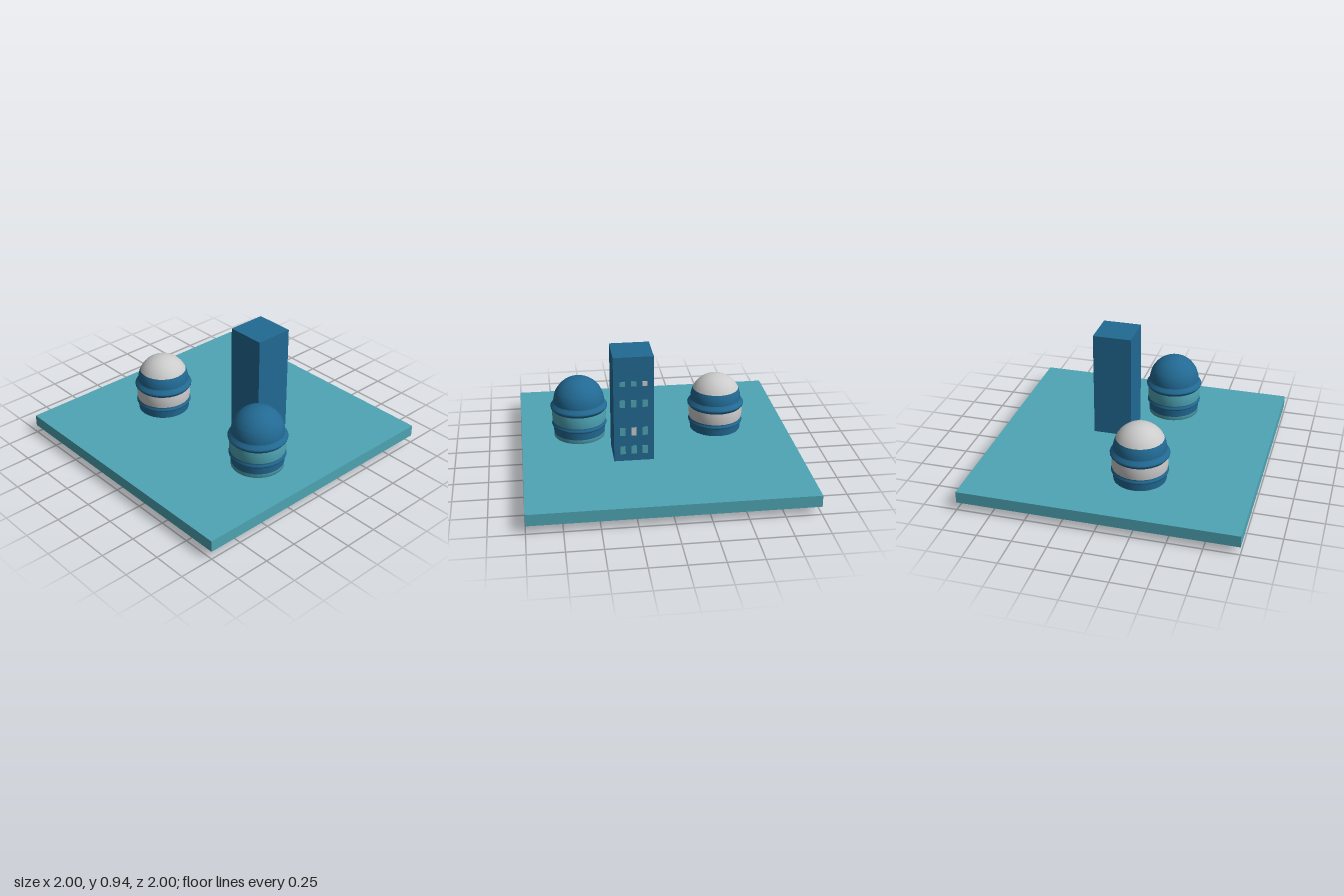
import * as THREE from 'three';

const teal = new THREE.MeshStandardMaterial({ color: 0x4fa5b5 });
const blue = new THREE.MeshStandardMaterial({ color: 0x226a94 });
const grey = new THREE.MeshStandardMaterial({ color: 0xcccccc });
for (const m of [teal, blue, grey]) m.side = THREE.DoubleSide;

function box(name, size, pos, material) {
  const mesh = new THREE.Mesh(new THREE.BoxGeometry(...size), material);
  mesh.position.set(...pos);
  mesh.name = name;
  return mesh;
}

function band(name, points, material) {
  const profile = points.map(([r, y]) => new THREE.Vector2(r, y));
  const mesh = new THREE.Mesh(new THREE.LatheGeometry(profile, 28), material);
  mesh.name = name;
  return mesh;
}

// Points on a hemisphere of radius 0.19 resting at y = 0.385
function domeArc(from, to, steps) {
  const pts = [];
  for (let i = 0; i <= steps; i++) {
    const a = THREE.MathUtils.lerp(from, to, i / steps);
    pts.push([Math.max(0, 0.19 * Math.cos(a)), 0.385 + 0.19 * Math.sin(a)]);
  }
  return pts;
}

// Round banded tower with ring mouldings and a domed cap
function domedTower(name, x, lift, bandMaterial, capMaterial) {
  const g = new THREE.Group();
  g.name = name;
  const split = Math.asin(0.082 / 0.19);
  g.add(
    band('foot', [[0, 0.08], [0.19, 0.08], [0.19, 0.145]], bandMaterial),
    band('lowerWall', [[0.19, 0.145], [0.194, 0.2]], blue),
    band('lowerRing', [[0.194, 0.2], [0.202, 0.205], [0.205, 0.213], [0.202, 0.222], [0.197, 0.228], [0.198, 0.238]], blue),
    band('middleWall', [[0.198, 0.238], [0.201, 0.265], [0.201, 0.3], [0.198, 0.327]], bandMaterial),
    band('upperRing', [[0.198, 0.327], [0.203, 0.338], [0.211, 0.343], [0.213, 0.352], [0.209, 0.36], [0.2, 0.37], [0.19, 0.385]], blue),
    band('domeBase', domeArc(0, split, 5), blue),
    band('domeCap', domeArc(split, Math.PI / 2, 10), capMaterial),
  );
  g.position.set(x, lift, 0.18);
  return g;
}

export function createModel() {
  const model = new THREE.Group();
  model.name = 'cityBlock';

  model.add(box('groundSlab', [2, 0.085, 2], [0, 0.1025, 0], teal));

  // Square tower passing through the slab
  const tower = new THREE.Group();
  tower.name = 'squareTower';
  tower.add(box('towerBody', [0.286, 0.94, 0.286], [0.205, 0.47, -0.175], blue));

  // Windows on the back face, two of them lit
  const rows = [[0.74, 0.035], [0.59, 0.055], [0.375, 0.062], [0.23, 0.062]];
  rows.forEach(([y, h], r) => {
    for (let c = -1; c <= 1; c++) {
      const lit = (r === 0 && c === -1) || (r === 2 && c === 0);
      tower.add(box('window', [0.038, h, 0.006], [0.205 + c * 0.08, y, -0.318], lit ? grey : teal));
    }
  });
  model.add(tower);

  model.add(
    domedTower('rightDomedTower', -0.47, 0, grey, grey),
    domedTower('leftDomedTower', 0.565, 0.03, teal, blue),
  );
  return model;
}
